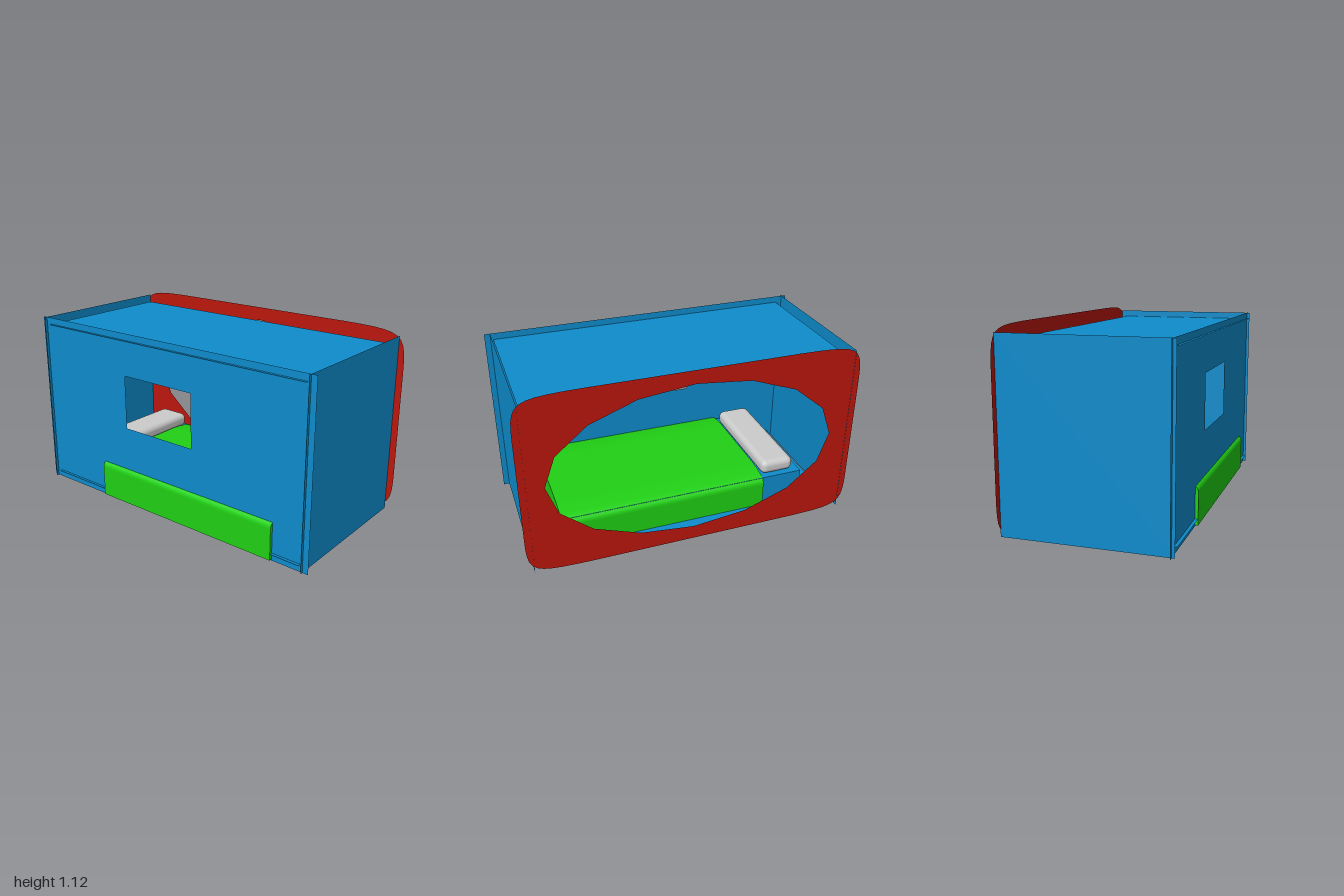
import * as THREE from 'three';
import { RoundedBoxGeometry } from 'three/addons/geometries/RoundedBoxGeometry.js';

const material = (color) => new THREE.MeshStandardMaterial({ color, side: THREE.DoubleSide });

export function createModel() {
  const group = new THREE.Group();
  const blue = material(0x0e8ccc), red = material(0xbb170d);
  const green = material(0x20d015), grey = material(0xcccccc);

  const add = (name, geometry, mat, x = 0, y = 0, z = 0) => {
    const mesh = new THREE.Mesh(geometry, mat);
    mesh.name = name;
    mesh.position.set(x, y, z);
    group.add(mesh);
    return mesh;
  };
  // Rectangle outline from two corners
  const rect = (Type, x0, y0, x1, y1) => {
    const s = new Type();
    s.moveTo(x0, y0).lineTo(x1, y0).lineTo(x1, y1).lineTo(x0, y1).closePath();
    return s;
  };
  // Flat sheet drawn in (z, y), standing across the x axis
  const sideSheet = (shape) => new THREE.ShapeGeometry(shape, 10).rotateY(-Math.PI / 2);

  // End panels, set slightly in from the ends of the long walls
  for (const [name, z] of [['frontPanel', 0.96], ['backPanel', -0.96]])
    add(name, new THREE.PlaneGeometry(0.95, 1.075), blue, 0, 0.5425, z);

  // Roof and floor sheets
  for (const [name, y] of [['roof', 1.04], ['floor', 0.05]])
    add(name, new THREE.PlaneGeometry(0.905, 1.865).rotateX(-Math.PI / 2), blue, -0.0225, y, 0.0125);

  // Long wall with its window
  const wall = rect(THREE.Shape, -0.99, 0.005, 0.995, 1.08);
  wall.holes.push(rect(THREE.Path, -0.29, 0.5, 0.21, 0.825));
  add('windowWall', sideSheet(wall), blue, -0.457);

  // Soft-cornered facade with a sixteen-sided oval opening
  const facade = new THREE.Shape();
  facade.moveTo(-0.62, 0);
  facade.lineTo(0.62, 0);
  facade.bezierCurveTo(0.98, 0.004, 1, 0.01, 1, 0.24);
  facade.lineTo(1, 0.875);
  facade.bezierCurveTo(1, 1.105, 0.98, 1.111, 0.62, 1.115);
  facade.lineTo(-0.62, 1.115);
  facade.bezierCurveTo(-0.98, 1.111, -1, 1.105, -1, 0.875);
  facade.lineTo(-1, 0.24);
  facade.bezierCurveTo(-1, 0.01, -0.98, 0.004, -0.62, 0);
  const oval = [];
  for (let i = 0; i < 16; i++) {
    const a = (i / 16) * Math.PI * 2;
    oval.push(new THREE.Vector2(0.007 + 0.852 * Math.cos(a), 0.56 + 0.473 * Math.sin(a)));
  }
  facade.holes.push(new THREE.Path(oval));
  add('facade', sideSheet(facade), red, 0.473);

  // Bed base
  add('bedBase', new THREE.BoxGeometry(0.775, 0.231, 1.48), blue, -0.042, 0.1195, -0.015);

  // Blanket wrapped over the base, rounded along its long top edges
  const x0 = -0.475, x1 = 0.365, top = 0.262;
  const blanket = new THREE.Shape();
  blanket.moveTo(x0, 0.012);
  blanket.lineTo(x1, 0.012);
  blanket.lineTo(x1, 0.2);
  blanket.quadraticCurveTo(x1, 0.245, x1 - 0.09, top - 0.008);
  blanket.quadraticCurveTo(x1 - 0.14, top, x1 - 0.2, top);
  blanket.lineTo(x0 + 0.2, top);
  blanket.quadraticCurveTo(x0 + 0.14, top, x0 + 0.09, top - 0.008);
  blanket.quadraticCurveTo(x0, 0.245, x0, 0.2);
  blanket.closePath();
  add('blanket', new THREE.ExtrudeGeometry(blanket, { depth: 1.26, bevelEnabled: false, curveSegments: 8 }),
    green, 0, 0, -0.493);

  // Pillow
  add('pillow', new RoundedBoxGeometry(0.71, 0.09, 0.21, 3, 0.036), grey, -0.03, 0.281, -0.605);

  return group;
}
